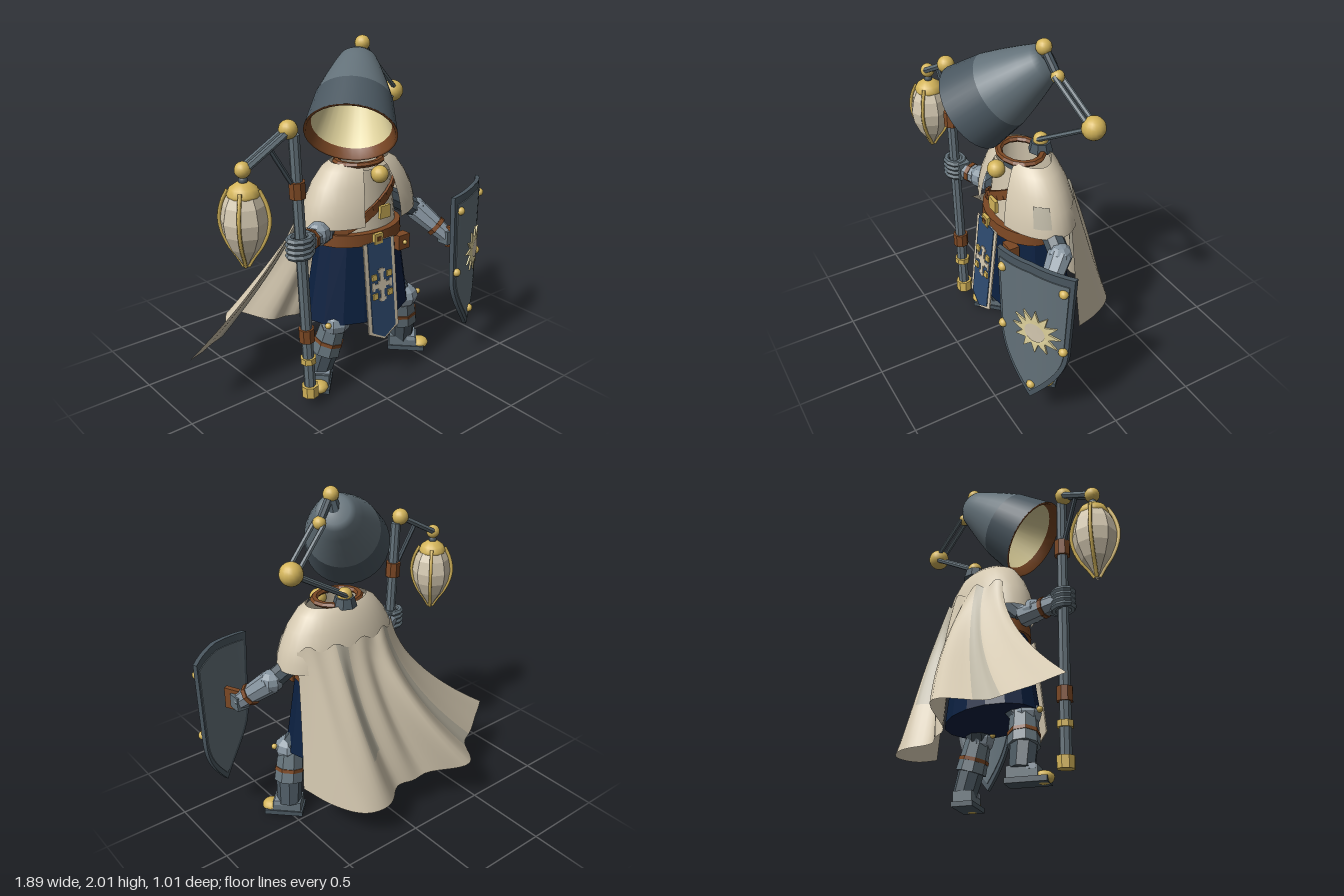
import * as THREE from 'three';

const V = (x, y, z) => new THREE.Vector3(x, y, z);
const mat = (name, color, side = THREE.FrontSide) => {
  const m = new THREE.MeshStandardMaterial({ color, side });
  m.name = name;
  return m;
};

export function createModel() {
  const model = new THREE.Group();
  const D = THREE.DoubleSide;
  const cream = mat('cream cloth', 0xd4c8b0, D), dim = mat('faded cloth', 0xbab4a2, D);
  const steel = mat('steel', 0x637179), dark = mat('dark steel', 0x4a5760), light = mat('bright steel', 0x85939e);
  const gold = mat('gold', 0xd3b45a), brown = mat('leather', 0x7c4824, D);
  const navy = mat('navy cloth', 0x0b2040, D), blue = mat('blue cloth', 0x2e4b70), glow = mat('lamp glow', 0xe0d39d);

  const flat = (g) => { const f = g.index ? g.toNonIndexed() : g; f.computeVertexNormals(); return f; };
  const add = (name, geo, m, pos = V(0, 0, 0), parent = model) => {
    const o = new THREE.Mesh(geo, m);
    o.name = name;
    o.position.copy(pos);
    parent.add(o);
    return o;
  };
  const part = (name, pos = V(0, 0, 0), parent = model) => {
    const g = new THREE.Group();
    g.name = name;
    g.position.copy(pos);
    parent.add(g);
    return g;
  };
  const ball = (name, r, m, pos, parent) => add(name, new THREE.SphereGeometry(r, 16, 12), m, pos, parent);
  const box = (name, w, h, d, m, pos, parent) => add(name, new THREE.BoxGeometry(w, h, d), m, pos, parent);
  const up = V(0, 1, 0);
  const rod = (name, a, b, r1, r2, m, parent, sides = 8) => {
    const d = b.clone().sub(a);
    const o = add(name, flat(new THREE.CylinderGeometry(r2, r1, d.length(), sides)), m, a.clone().lerp(b, 0.5), parent);
    o.quaternion.setFromUnitVectors(up, d.normalize());
    return o;
  };
  // collar of given half length wrapped round a limb at fraction t
  const band = (name, a, b, t, r, h, m, parent) => {
    const c = a.clone().lerp(b, t), d = b.clone().sub(a).setLength(h);
    return rod(name, c.clone().sub(d), c.clone().add(d), r, r, m, parent);
  };
  const lathe = (pts, seg = 32, start = 0, len = Math.PI * 2) =>
    new THREE.LatheGeometry(pts.map(([r, y]) => new THREE.Vector2(r, y)), seg, start, len);

  // lamp-shaped head
  const rim = V(-0.103, 1.55, 0.274), axis = V(0.565, 0.622, -0.54).normalize();
  const head = part('lampHead', rim);
  head.quaternion.setFromUnitVectors(up, axis);
  add('shadeBand', lathe([[0.25, 0], [0.214, 0.21]]), dark, undefined, head);
  add('shade', lathe([[0.214, 0.21], [0.178, 0.32], [0.137, 0.43], [0.108, 0.5], [0.08, 0.53], [0, 0.545]]), steel, undefined, head);
  add('shadeRim', lathe([[0.215, 0.055], [0.236, 0], [0.25, 0]]), brown, undefined, head);
  add('shadeInside', lathe([[0, 0.43], [0.11, 0.42], [0.215, 0.055]]), glow, undefined, head);

  // jointed neck arm
  const neck = part('neckArm');
  const top = V(0.20, 1.958, 0.015), hinge = V(0.295, 1.83, -0.01), elbow = V(0.528, 1.63, -0.08), base = V(0.137, 1.385, -0.01);
  [[top, 0.043], [hinge, 0.036], [elbow, 0.064], [base, 0.043]].forEach(([p, r]) => ball('neckJoint', r, gold, p, neck));
  rod('neckLink', top, hinge, 0.024, 0.024, dark, neck);
  rod('shadeMount', V(0.19, 1.87, 0), top, 0.04, 0.026, dark, neck);
  for (const s of [-1, 1]) {
    const o = V(0.008, 0.008, 0.026).multiplyScalar(s);
    rod('upperNeckRod', hinge.clone().add(o), elbow.clone().add(o), 0.014, 0.014, steel, neck, 6);
    rod('lowerNeckRod', elbow.clone().add(o), base.clone().add(o), 0.014, 0.014, steel, neck, 6);
  }
  rod('neckBracket', V(0.137, 1.32, -0.01), V(0.137, 1.375, -0.01), 0.07, 0.055, dark, neck);

  // torso, mantle and collar
  const torso = add('torso', new THREE.CylinderGeometry(0.2, 0.26, 0.42, 24, 1, true), cream, V(0.115, 1.09, 0.09));
  torso.scale.z = 0.68;
  const mantle = add('mantle', lathe([[1, 1.0], [0.975, 1.06], [0.92, 1.13], [0.81, 1.22], [0.65, 1.3], [0.5, 1.335]], 32, 0.36, Math.PI * 2 - 0.72), cream, V(0.13, 0, 0.08));
  mantle.scale.set(0.39, 1, 0.23);
  const patch = add('mantlePatch', lathe([[0.975, 1.06], [0.92, 1.13], [0.87, 1.18]], 8, 0.95, 0.38), dim, V(0.13, 0, 0.08));
  patch.scale.set(0.395, 1, 0.234);
  const collar = add('collar', flat(new THREE.TorusGeometry(0.138, 0.024, 6, 14)), brown, V(0.108, 1.328, 0.1));
  collar.rotation.x = Math.PI / 2;
  collar.scale.set(1, 0.82, 0.7);
  ball('clasp', 0.05, gold, V(0.125, 1.275, 0.26));

  // chest strap following the torso
  const onChest = (t) => {
    const x = -0.13 + 0.42 * t, y = 0.95 + 0.25 * t, r = 0.275 - 0.06 * (y - 0.88) / 0.42;
    return V(x, y, 0.095 + 0.7 * Math.sqrt(Math.max(0, r * r - (x - 0.115) ** 2)));
  };
  for (let i = 0; i < 8; i++) {
    const a = onChest(i / 8), b = onChest((i + 1) / 8);
    box('chestStrap', 0.015, 0.055, a.distanceTo(b) + 0.01, brown, a.clone().lerp(b, 0.5)).lookAt(b);
  }
  box('strapBuckle', 0.075, 0.075, 0.02, gold, V(0.14, 1.06, 0.29));

  // cape: a sheet swept from under the mantle to a wavy hem
  const hem = new THREE.CatmullRomCurve3([
    V(0.5, 0.27, -0.07), V(0.42, 0.22, -0.24), V(0.28, 0.2, -0.43), V(0.1, 0.2, -0.4), V(-0.05, 0.21, -0.33),
    V(-0.2, 0.22, -0.37), V(-0.42, 0.29, -0.5), V(-0.6, 0.27, -0.3), V(-0.78, 0.29, -0.2), V(-0.945, 0.325, -0.09)]);
  const nc = 54, nr = 14, cape = new THREE.PlaneGeometry(1, 1, nc, nr), cp = cape.attributes.position;
  for (let i = 0; i < cp.count; i++) {
    const t = cp.getX(i) + 0.5, s = 0.5 - cp.getY(i), b = hem.getPoint(t), a = 0.4 + (Math.PI - 0.8) * t;
    const x0 = 0.13 + 0.362 * Math.cos(a), y0 = 1.15 - 0.02 * Math.cos(t * 30), z0 = 0.08 - 0.214 * Math.sin(a);
    const fold = 0.026 * Math.sin(t * 36) * Math.sin(Math.PI * Math.min(1, s * 0.75)) * Math.sin(Math.PI * t);
    cp.setXYZ(i, x0 + (b.x - x0) * s ** 1.6, y0 + (b.y - y0) * s, z0 + (b.z - z0) * s + fold);
  }
  cape.computeVertexNormals();
  const plain = [], faded = [], idx = cape.index.array;
  for (let q = 0; q < nc * nr; q++) {
    const t = (q % nc) / nc, s = Math.floor(q / nc) / nr;
    const isFaded = (t > 0.31 && t < 0.4 && s < 0.7) || (t > 0.73 && t < 0.81);
    (isFaded ? faded : plain).push(...idx.slice(q * 6, q * 6 + 6));
  }
  cape.setIndex([...plain, ...faded]);
  cape.addGroup(0, plain.length, 0);
  cape.addGroup(plain.length, faded.length, 1);
  add('cape', cape, [cream, dim]);

  // skirt, belt and pouch
  add('skirt', flat(new THREE.CylinderGeometry(0.275, 0.355, 0.48, 16, 1)), navy, V(0.115, 0.66, 0.09)).scale.z = 0.69;
  add('belt', new THREE.CylinderGeometry(0.283, 0.288, 0.07, 24), brown, V(0.11, 0.917, 0.09)).scale.z = 0.74;
  box('beltBuckle', 0.062, 0.062, 0.02, gold, V(0.078, 0.918, 0.308));
  box('buckleCentre', 0.026, 0.026, 0.008, brown, V(0.078, 0.918, 0.319));
  box('pouch', 0.085, 0.09, 0.06, brown, V(0.295, 0.835, 0.27));
  ball('pouchStud', 0.013, gold, V(0.295, 0.835, 0.305));

  // hanging front panel
  const tabard = part('tabard', V(0.085, 0.9, 0.3));
  tabard.rotation.x = -0.115;
  const panel = (w, h, tip) => new THREE.ExtrudeGeometry(
    new THREE.Shape([[-w, 0], [-w, -h], [0, -tip], [w, -h], [w, 0]].map(([x, y]) => new THREE.Vector2(x, y))), { depth: 0.008, bevelEnabled: false });
  add('panelBorder', panel(0.115, 0.54, 0.6), cream, undefined, tabard);
  add('panelCentre', panel(0.088, 0.537, 0.587), blue, V(0, 0, 0.004), tabard);
  const cross = [[0, 0, 0.026, 0.2], [0, 0, 0.15, 0.026], [0, 0, 0.055, 0.055], [0, 0.085, 0.05, 0.018], [0, -0.085, 0.05, 0.018], [0.065, 0, 0.018, 0.05], [-0.065, 0, 0.018, 0.05]];
  cross.forEach(([x, y, w, h]) => box('panelCross', w, h, 0.006, cream, V(x, y - 0.262, 0.014), tabard));
  for (const x of [-0.057, 0.057]) for (const y of [-0.205, -0.32]) box('panelStud', 0.034, 0.034, 0.012, gold, V(x, y, 0.016), tabard);

  // legs and boots, mirrored
  for (const s of [-1, 1]) {
    const at = (dx, y, z) => V(0.15 + s * dx, y, z), leg = part(s > 0 ? 'leftLeg' : 'rightLeg');
    const hip = at(0.16, 0.58, 0.1), knee = at(0.272, 0.4, 0.165), mid = at(0.315, 0.21, 0.135), ankle = at(0.34, 0.07, 0.105);
    rod('thigh', hip, knee, 0.085, 0.075, dark, leg);
    rod('upperGreave', knee, mid, 0.078, 0.092, steel, leg);
    rod('lowerGreave', mid, ankle, 0.078, 0.072, dark, leg);
    band('greaveStrap', knee, mid, 0.62, 0.091, 0.011, brown, leg);
    const cop = add('kneeCop', flat(new THREE.SphereGeometry(0.095, 8, 6)), light, at(0.272, 0.405, 0.175), leg);
    cop.scale.set(1, 0.82, 0.95);
    for (const k of [-1, 1]) ball('kneeRivet', 0.018, gold, at(0.272 + k * 0.085, 0.42, 0.215), leg);
    const boot = part('boot', at(0.352, 0, 0.135), leg);
    boot.rotation.y = s * 0.78;
    box('sole', 0.13, 0.03, 0.23, dark, V(0, 0.015, 0), boot);
    box('bootUpper', 0.115, 0.065, 0.17, steel, V(0, 0.06, -0.02), boot);
    box('instep', 0.12, 0.03, 0.05, light, V(0, 0.085, 0.03), boot);
    add('toeCap', new THREE.SphereGeometry(0.057, 12, 8), gold, V(0, 0.032, 0.085), boot).scale.y = 0.65;
  }

  // arm holding the staff
  const rArm = part('rightArm'), rE = V(-0.18, 0.97, 0.14), rH = V(-0.41, 0.985, 0.235);
  rod('upperArm', V(-0.06, 1.1, 0.09), rE, 0.06, 0.058, dark, rArm);
  add('elbowCop', flat(new THREE.SphereGeometry(0.07, 8, 6)), light, V(-0.24, 0.985, 0.17), rArm);
  rod('forearm', rE, rH, 0.064, 0.05, light, rArm);
  band('cuff', rE, rH, 0.6, 0.062, 0.012, brown, rArm);
  box('palm', 0.1, 0.11, 0.07, steel, V(-0.385, 0.985, 0.23), rArm);
  for (let i = 0; i < 4; i++) {
    const f = add('finger', flat(new THREE.TorusGeometry(0.052, 0.018, 6, 10)), steel, V(-0.428, 0.94 + i * 0.03, 0.25), rArm);
    f.rotation.x = Math.PI / 2;
    f.scale.x = 1.2;
  }

  // arm behind the shield
  const lArm = part('leftArm'), lE = V(0.56, 0.93, 0.12), lH = V(0.675, 0.77, 0.285);
  rod('upperArm', V(0.32, 1.07, 0.09), lE, 0.06, 0.058, dark, lArm);
  add('elbowCop', flat(new THREE.SphereGeometry(0.07, 8, 6)), light, lE, lArm);
  rod('forearm', lE, lH, 0.07, 0.05, light, lArm);
  band('cuff', lE, lH, 0.65, 0.066, 0.013, brown, lArm);
  box('hand', 0.08, 0.085, 0.08, steel, lH, lArm);
  box('shieldGrip', 0.03, 0.13, 0.1, brown, V(0.69, 0.77, 0.33), lArm).rotation.y = 0.43;

  // shield, bent round a vertical axis
  const shield = part('shield', V(0.728, 0, 0.362));
  shield.rotation.y = 0.43;
  const bow = (x) => 0.045 * (1 - (x / 0.234) ** 2);
  const halfWidth = (v) => 0.234 * (v > 0.45 ? 0.91 + 0.09 * (v - 0.45) / 0.55 : 0.91 * Math.sin(Math.PI / 2 * v / 0.45));
  const plate = (inset, depth) => {
    const g = new THREE.BoxGeometry(1, 1, 1, 10, 24, 1), p = g.attributes.position;
    for (let i = 0; i < p.count; i++) {
      const u = p.getX(i) * 2, v = p.getY(i) + 0.5, x = u * halfWidth(v) * inset;
      p.setXYZ(i, x, 0.645 + (v - 0.5) * 0.91 * inset + 0.02 * v * (1 - Math.abs(u)), p.getZ(i) * depth + bow(x));
    }
    g.computeVertexNormals();
    return g;
  };
  add('shieldRim', plate(1, 0.026), dark, undefined, shield);
  add('shieldFace', plate(0.9, 0.036), steel, undefined, shield);
  const star = new THREE.Shape(Array.from({ length: 24 }, (_, i) => {
    const r = i % 2 ? 0.08 : 0.142, a = i * Math.PI / 12;
    return new THREE.Vector2(r * Math.cos(a), r * Math.sin(a));
  }));
  const onShield = (name, geo, m, x, y, z) => {
    const p = geo.attributes.position;
    for (let i = 0; i < p.count; i++) p.setZ(i, p.getZ(i) + bow(p.getX(i) + x));
    geo.computeVertexNormals();
    add(name, geo, m, V(x, y, z), shield);
  };
  onShield('sunRays', new THREE.ExtrudeGeometry(star, { depth: 0.009, bevelEnabled: false }), glow, 0.038, 0.7, 0.018);
  onShield('sunDisc', new THREE.CircleGeometry(0.06, 24), cream, 0.038, 0.7, 0.03);
  [[-0.185, 1.01], [0.185, 1.01], [-0.19, 0.62], [0.19, 0.62], [0.01, 0.3]].forEach(([x, y]) =>
    ball('shieldBolt', 0.025, gold, V(x, y, bow(x) + 0.018), shield));

  // staff with bracket
  const staff = part('staff'), sT = V(-0.455, 1.6, 0.25), sB = V(-0.373, 0.06, 0.26);
  rod('shaft', sB, sT, 0.034, 0.03, steel, staff);
  [[0.19, 0.046, 0.045, brown], [0.745, 0.046, 0.04, brown], [0.85, 0.046, 0.018, gold], [0.98, 0.05, 0.034, gold]].forEach(([t, r, h, m]) =>
    band('staffBand', sT, sB, t, r, h, m, staff));
  const knob = V(-0.487, 1.632, 0.247), tip = V(-0.763, 1.478, 0.247);
  ball('staffKnob', 0.05, gold, knob, staff);
  ball('bracketKnob', 0.042, gold, tip, staff);
  for (const z of [-0.017, 0.017]) rod('bracketRod', knob.clone().add(V(0, 0, z)), tip.clone().add(V(0, 0, z)), 0.019, 0.019, steel, staff, 6);
  rod('brace', V(-0.6, 1.55, 0.247), V(-0.45, 1.31, 0.25), 0.014, 0.014, dark, staff, 6);

  // hanging bud lantern
  const lantern = part('lantern', V(-0.763, 0, 0.247));
  const bud = [[0.006, 0.96], [0.035, 1.01], [0.08, 1.075], [0.112, 1.15], [0.122, 1.22], [0.106, 1.3], [0.072, 1.37]];
  add('lanternBody', flat(lathe(bud, 8)), cream, undefined, lantern);
  add('lanternCap', lathe([[0.08, 1.345], [0.085, 1.36], [0.07, 1.39], [0.035, 1.415], [0, 1.42]], 16), gold, undefined, lantern);
  ball('lanternLink', 0.024, dark, V(0, 1.425, 0), lantern);
  const ribPath = new THREE.CatmullRomCurve3(bud.map(([r, y]) => V(r + 0.006, y + 0.01, 0)));
  for (let i = 0; i < 4; i++) add('lanternRib', new THREE.TubeGeometry(ribPath, 14, 0.011, 5), gold, undefined, lantern).rotation.y = (i + 0.5) * Math.PI / 2;

  return model;
}
